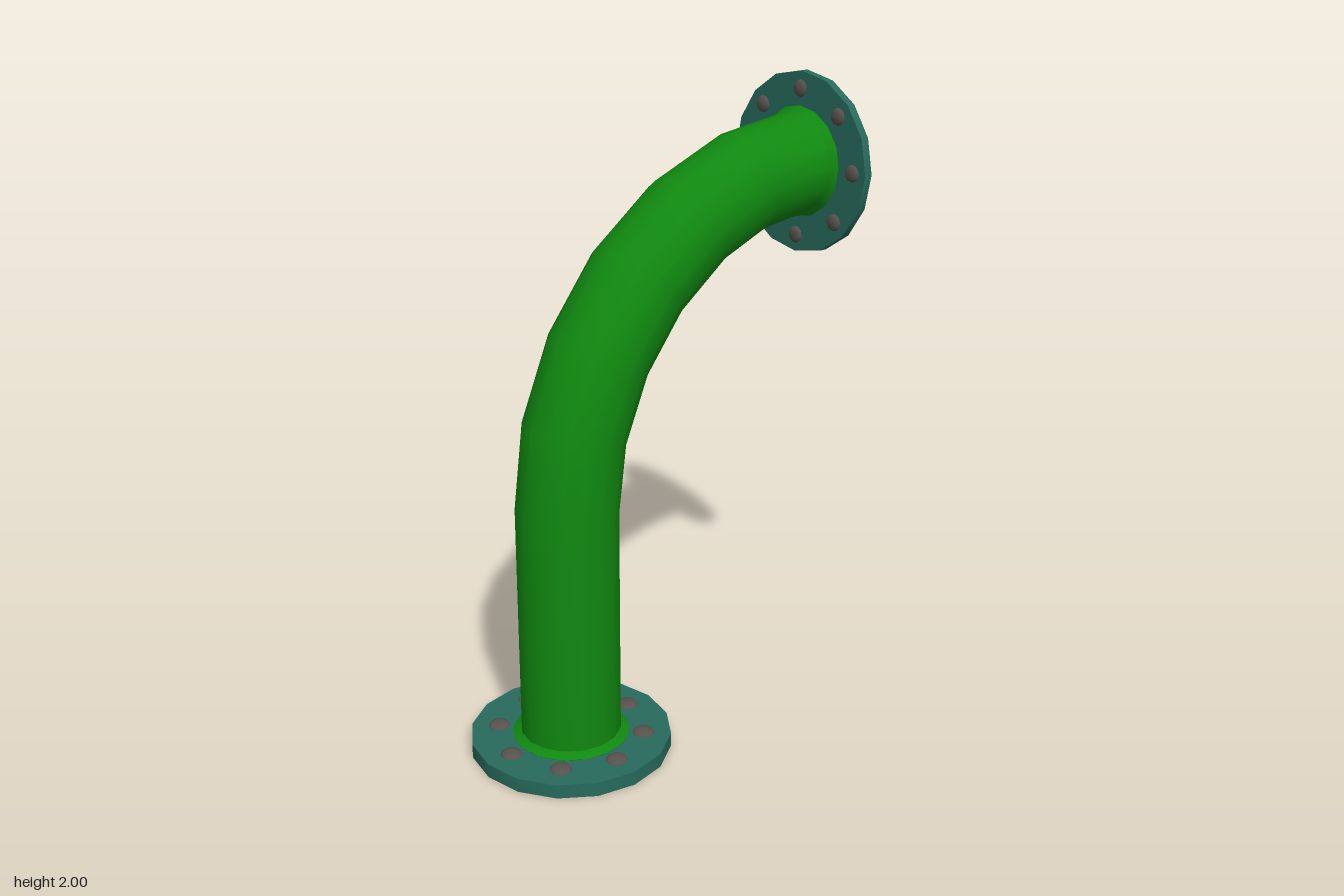
import * as THREE from 'three';
import { toCreasedNormals } from 'three/addons/utils/BufferGeometryUtils.js';

const SIDES = 16;
const BOLTS = 8;
const PIPE_R = 0.157;
const BEND_R = 0.93;
const BEND_Z = -0.612;
const BEND_Y = 0.79;

function ringPoints(radius, sides, cx = 0, cy = 0) {
  return Array.from({ length: sides }, (_, i) => {
    const a = (i / sides) * Math.PI * 2;
    return new THREE.Vector2(cx + radius * Math.cos(a), cy + radius * Math.sin(a));
  });
}

// Open tube swept through rings given as { z, y, angle, r }
function sweepPipe(rings) {
  const pos = [];
  const index = [];
  rings.forEach(({ z, y, angle, r }, k) => {
    for (let i = 0; i < SIDES; i++) {
      const t = (i / SIDES) * Math.PI * 2;
      const out = r * Math.cos(t);
      pos.push(r * Math.sin(t), y + out * Math.sin(angle), z + out * Math.cos(angle));
      if (k === 0) continue;
      const j = (i + 1) % SIDES;
      const a = (k - 1) * SIDES + i, b = (k - 1) * SIDES + j;
      const c = k * SIDES + i, d = k * SIDES + j;
      index.push(a, b, d, a, d, c);
    }
  });
  const geo = new THREE.BufferGeometry();
  geo.setAttribute('position', new THREE.Float32BufferAttribute(pos, 3));
  geo.setIndex(index);
  return toCreasedNormals(geo, 0.6);
}

// Drilled ring plate with domed bolt heads, facing +z
function makeFlange(name, { radius, hole, depth, boltR, boltCircle }, plateMat, boltMat) {
  const group = new THREE.Group();
  group.name = name;
  const shape = new THREE.Shape(ringPoints(radius, SIDES));
  shape.holes.push(new THREE.Path(ringPoints(hole, SIDES)));

  const height = 0.012;
  const headGeo = new THREE.LatheGeometry([
    new THREE.Vector2(boltR, 0),
    new THREE.Vector2(boltR * 0.88, height * 0.55),
    new THREE.Vector2(boltR * 0.5, height * 0.92),
    new THREE.Vector2(0, height),
  ], 12);
  headGeo.rotateX(Math.PI / 2);

  for (const p of ringPoints(boltCircle, BOLTS)) {
    shape.holes.push(new THREE.Path(ringPoints(boltR * 0.97, 12, p.x, p.y)));
    const bolt = new THREE.Mesh(headGeo, boltMat);
    bolt.name = 'bolt';
    bolt.position.set(p.x, p.y, depth);
    group.add(bolt);
  }

  const plateGeo = new THREE.ExtrudeGeometry(shape, { depth, bevelEnabled: false });
  const plate = new THREE.Mesh(toCreasedNormals(plateGeo, 0.6), plateMat);
  plate.name = 'flangePlate';
  group.add(plate);
  return group;
}

export function createModel() {
  const green = new THREE.MeshStandardMaterial({ color: 0x108810, side: THREE.DoubleSide });
  green.name = 'pipeGreen';
  const teal = new THREE.MeshStandardMaterial({ color: 0x276a5c });
  teal.name = 'flangeTeal';
  const grey = new THREE.MeshStandardMaterial({ color: 0x57524d, side: THREE.DoubleSide });
  grey.name = 'boltGrey';

  const model = new THREE.Group();
  model.name = 'flangedPipe';

  // Pipe: straight riser, bend in 15 degree steps, small flare at both ends
  const riserZ = BEND_Z + BEND_R;
  const rings = [
    { z: riserZ, y: 0.001, angle: 0, r: 0.168 },
    { z: riserZ, y: 0.046, angle: 0, r: 0.184 },
    { z: riserZ, y: 0.06, angle: 0, r: PIPE_R },
  ];
  const bend = (degrees, r = PIPE_R) => {
    const angle = THREE.MathUtils.degToRad(degrees);
    rings.push({
      z: BEND_Z + BEND_R * Math.cos(angle),
      y: BEND_Y + BEND_R * Math.sin(angle),
      angle,
      r,
    });
  };
  for (let d = 0; d <= 75; d += 15) bend(d);
  bend(88.3);
  bend(90, 0.177);
  rings.push({ z: -0.634, y: BEND_Y + BEND_R, angle: Math.PI / 2, r: 0.17 });
  const pipe = new THREE.Mesh(sweepPipe(rings), green);
  pipe.name = 'pipe';
  model.add(pipe);

  // Base flange, facing up
  const base = makeFlange('baseFlange',
    { radius: 0.315, hole: 0.168, depth: 0.045, boltR: 0.034, boltCircle: 0.228 }, teal, grey);
  base.rotation.x = -Math.PI / 2;
  base.position.z = riserZ;
  model.add(base);

  // Upper flange, facing forward
  const top = makeFlange('upperFlange',
    { radius: 0.283, hole: 0.17, depth: 0.028, boltR: 0.027, boltCircle: 0.229 }, teal, grey);
  top.position.set(0, BEND_Y + BEND_R - 0.003, -0.635);
  model.add(top);

  return model;
}
